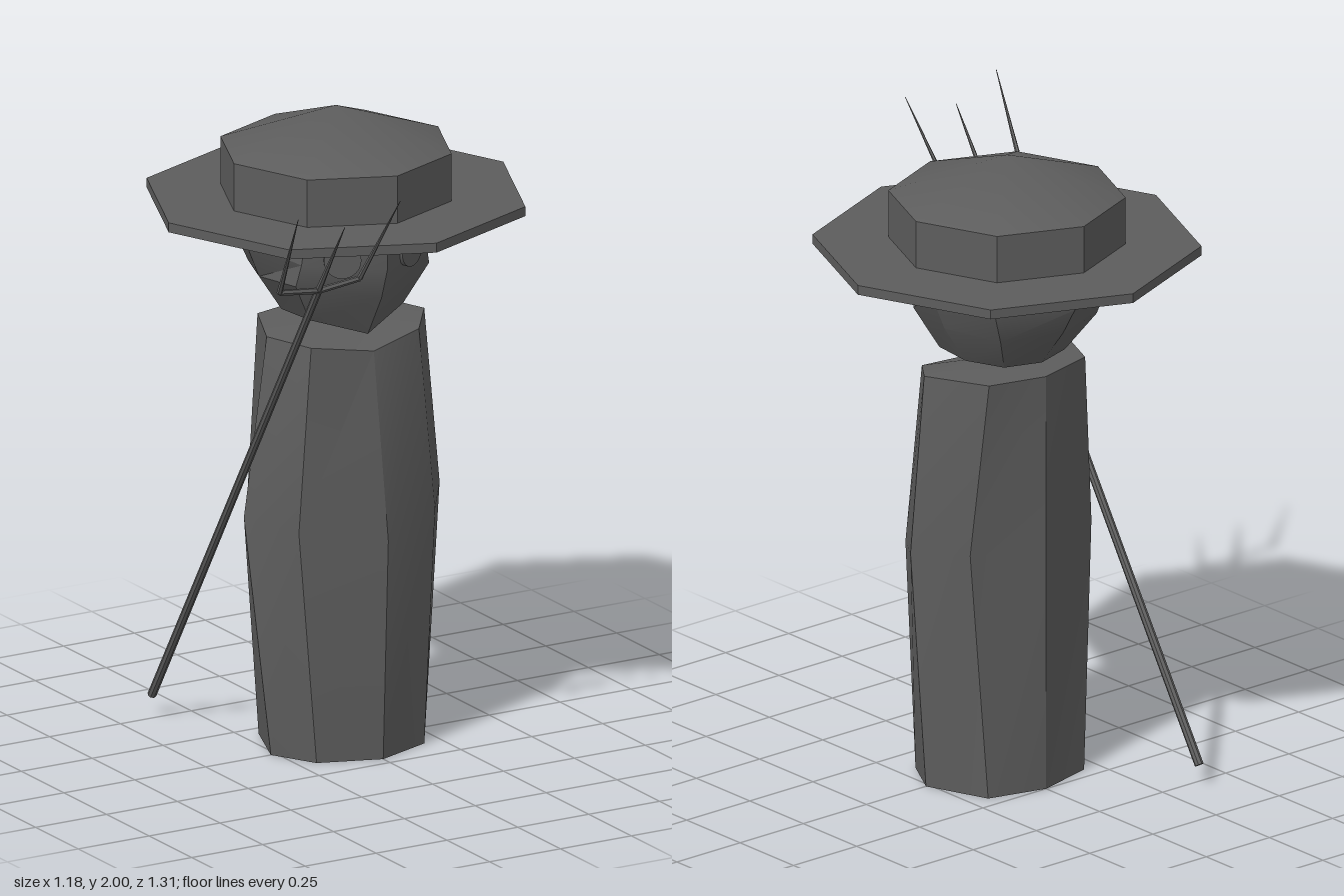
import * as THREE from 'three';
import { mergeVertices, toCreasedNormals } from 'three/addons/utils/BufferGeometryUtils.js';

const color = 0x5d5d5d;
const flat = new THREE.MeshStandardMaterial({ color, flatShading: true });
const smooth = new THREE.MeshStandardMaterial({ color });
const open = new THREE.MeshStandardMaterial({ color, side: THREE.DoubleSide });

function add(parent, name, geometry, material = flat) {
  const mesh = new THREE.Mesh(geometry, material);
  mesh.name = name;
  parent.add(mesh);
  return mesh;
}

// Mirrors a half section (front centre to back centre) into a ring, its sides shifted along x
function ring(half, shift) {
  const other = half.slice(1, -1).reverse().map(([x, y, z]) => [-x, y, z]);
  return [...half, ...other].map(([x, y, z]) => [x === 0 ? 0 : x + shift, y, z]);
}

// Joins rings listed from bottom to top; a null bottom point leaves the underside open
function loft(rings, bottom, top) {
  const n = rings[0].length, last = (rings.length - 1) * n;
  const points = [...rings.flat(), top];
  const t = points.length - 1;
  if (bottom) points.push(bottom);
  const index = [];
  for (let i = 0; i < n; i++) {
    const j = (i + 1) % n;
    for (let r = 0; r < last; r += n) {
      index.push(r + i, r + j, r + n + j, r + i, r + n + j, r + n + i);
    }
    index.push(t, last + i, last + j);
    if (bottom) index.push(t + 1, j, i);
  }
  const g = new THREE.BufferGeometry();
  g.setAttribute('position', new THREE.Float32BufferAttribute(points.flat(), 3));
  g.setIndex(index);
  return toCreasedNormals(g, 0.44);
}

// Low cone whose facets blend smoothly into one another
function softCone(radius, height) {
  const g = new THREE.ConeGeometry(radius, height, 8, 1, true);
  g.deleteAttribute('normal');
  g.deleteAttribute('uv');
  const merged = mergeVertices(g);
  merged.computeVertexNormals();
  return merged;
}

// Tapered rod between two points
function rod(parent, name, from, to, r0, r1, sides = 6) {
  const a = new THREE.Vector3(...from), b = new THREE.Vector3(...to);
  const dir = b.clone().sub(a);
  const mesh = add(parent, name, new THREE.CylinderGeometry(r1, r0, dir.length(), sides));
  mesh.position.copy(a).add(b).multiplyScalar(0.5);
  mesh.quaternion.setFromUnitVectors(new THREE.Vector3(0, 1, 0), dir.normalize());
}

export function createModel() {
  const model = new THREE.Group();
  model.name = 'hattedFigure';

  // Eight-sided hollow body, widest below the middle, flat at the back, open underneath
  add(model, 'body', loft([
    ring([[0, 0, 0.21], [0.19, 0, 0.14], [0.267, 0, 0], [0.19, 0, -0.2], [0, 0, -0.25]], -0.003),
    ring([[0, 0.7, 0.24], [0.24, 0.74, 0.148], [0.345, 0.77, 0], [0.24, 0.78, -0.155], [0, 0.77, -0.25]], -0.02),
    ring([[0, 1.28, 0.155], [0.19, 1.31, 0.115], [0.278, 1.33, 0], [0.19, 1.335, -0.2], [0, 1.335, -0.25]], -0.007),
  ], null, [0, 1.35, -0.06]), open);

  // Faceted head with a pointed chin
  const head = new THREE.Group();
  head.name = 'head';
  model.add(head);
  add(head, 'skull', loft([
    ring([[0, 1.325, 0.12], [0.165, 1.38, 0.06], [0.18, 1.38, -0.08], [0.12, 1.375, -0.19], [0, 1.375, -0.23]], -0.005),
    ring([[0, 1.46, 0.2], [0.235, 1.51, 0.105], [0.26, 1.5, -0.07], [0.19, 1.49, -0.25], [0, 1.5, -0.33]], -0.01),
    ring([[0, 1.56, 0.235], [0.22, 1.58, 0.12], [0.31, 1.62, -0.06], [0.24, 1.62, -0.27], [0, 1.59, -0.385]], -0.014),
    ring([[0, 1.71, 0.235], [0.215, 1.71, 0.135], [0.28, 1.71, -0.08], [0.21, 1.71, -0.29], [0, 1.71, -0.385]], -0.008),
  ], [0, 1.36, -0.06], [0, 1.71, -0.08]), smooth);

  // Round eyes lying almost flush on the two slanted face planes
  for (const side of [1, -1]) {
    const eye = add(head, side > 0 ? 'leftEye' : 'rightEye',
      new THREE.CylinderGeometry(0.057, 0.057, 0.014, 24).rotateX(Math.PI / 2), smooth);
    eye.position.set(side * 0.12 - 0.005, 1.595, 0.179);
    eye.rotation.y = side * 0.45;
  }

  // Octagonal hat: brim, crown and smooth low cone
  const hat = new THREE.Group();
  hat.name = 'hat';
  hat.position.z = -0.067;
  model.add(hat);
  add(hat, 'brim', new THREE.CylinderGeometry(0.59, 0.59, 0.03, 8)).position.y = 1.708;
  add(hat, 'crown', new THREE.CylinderGeometry(0.36, 0.36, 0.15, 8)).position.y = 1.798;
  add(hat, 'crownTop', softCone(0.36, 0.127), smooth).position.y = 1.9365;

  // Pitchfork slanting forward past the right side
  const fork = new THREE.Group();
  fork.name = 'pitchfork';
  model.add(fork);
  const hub = [-0.384, 1.62, 0.468];
  rod(fork, 'shaft', [-0.374, 0.065, -0.525], hub, 0.014, 0.012, 8);
  rod(fork, 'middleTine', hub, [-0.386, 1.865, 0.627], 0.01, 0.001);
  for (const side of [1, -1]) {
    const corner = [hub[0] + side * 0.141, 1.638, 0.475];
    const label = side > 0 ? 'left' : 'right';
    rod(fork, label + 'Crossbar', hub, corner, 0.01, 0.009);
    rod(fork, label + 'Tine', corner, [hub[0] + side * 0.18, 1.925, 0.65], 0.009, 0.001);
  }
  return model;
}
